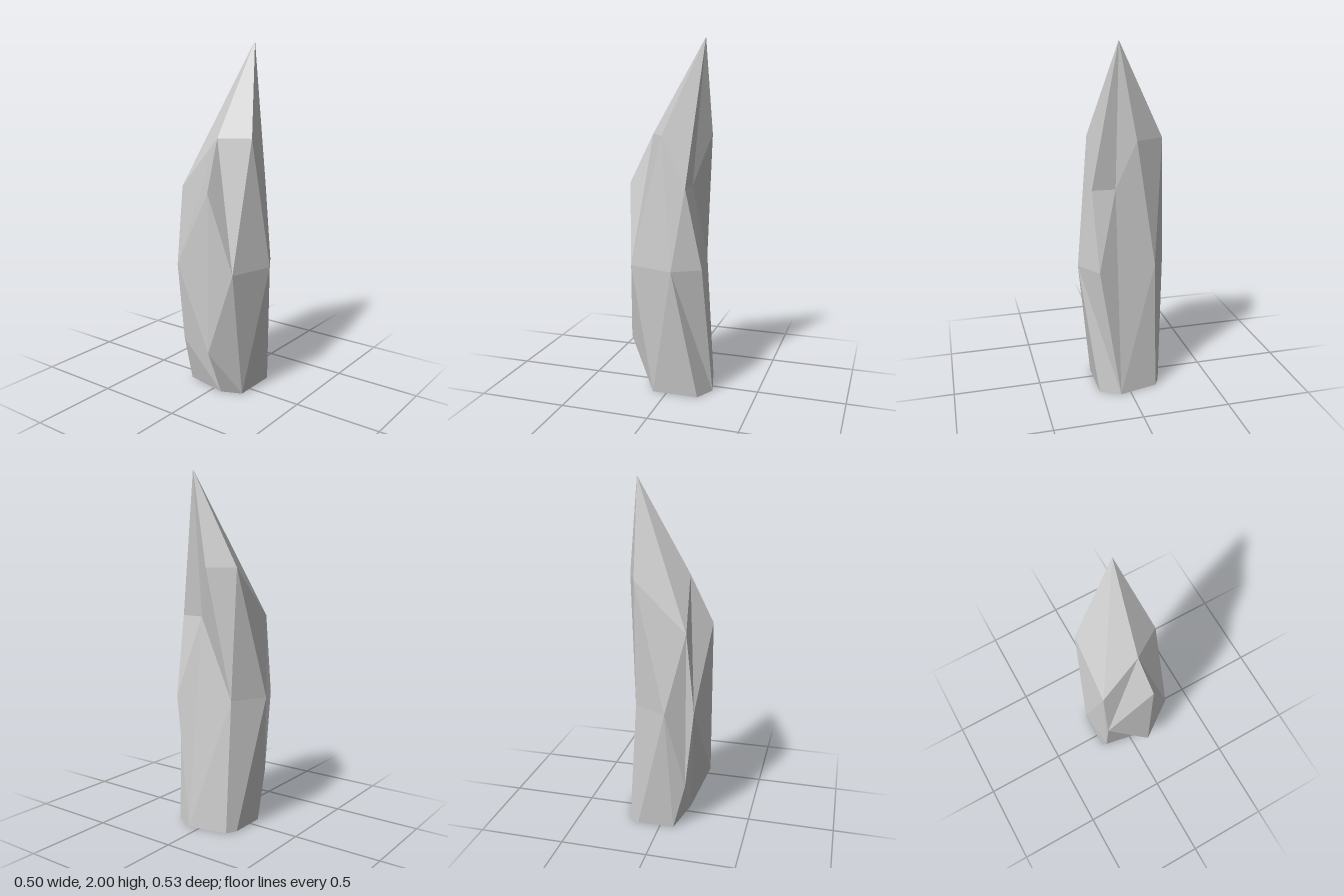
import * as THREE from 'three';

// Corners of the shard, grouped by height: label -> [x, z]
const levels = [
  [2.0, { H: [0.19, 0.06] }],
  [1.48, { L: [-0.02, 0.19], O: [-0.12, 0.03], D: [0.14, -0.195], F: [0.207, -0.036] }],
  [1.2, { K: [0.116, 0.193], P: [0.12, 0.06], C: [-0.15, -0.195], N: [-0.25, 0.06] }],
  [0.75, { J: [0.057, 0.266], I: [0.207, 0.172], Q: [0.147, -0.163], A: [-0.045, -0.268], B: [-0.198, -0.2], M: [-0.2, 0.192] }],
  [0.28, { n: [-0.25, 0.06], c: [-0.15, -0.195] }],
  [0, { T: [-0.08, 0.175], U: [0.185, 0.175], G: [0.245, 0.06], E: [0.193, -0.163], S: [0.135, -0.195], R: [-0.08, -0.195], r: [-0.13, 0.06] }],
];

// Facets as fans: the first corner is the hub, the rest run counter-clockwise round it
const fans = [
  'HOLKPFDCO', // tip
  'JKLMTUGIK', // front bulge
  'QGESADFPG', // right hollow
  'BcrnNOCc',  // back left bulge
  'ASRcCD',    // back
  'MLONnT',    // front left
  'PKIG',      // right notch
  'nrT', 'cRr', // lower chamfers
  'TrRSEGU',   // flat base
];

export function createModel() {
  const corners = {};
  for (const [y, ring] of levels) {
    for (const [label, [x, z]] of Object.entries(ring)) corners[label] = [x, y, z];
  }

  const positions = [];
  for (const [hub, ...rim] of fans) {
    for (let i = 0; i + 1 < rim.length; i++) {
      positions.push(...corners[hub], ...corners[rim[i]], ...corners[rim[i + 1]]);
    }
  }

  const geometry = new THREE.BufferGeometry();
  geometry.setAttribute('position', new THREE.Float32BufferAttribute(positions, 3));
  geometry.computeVertexNormals();

  const shard = new THREE.Mesh(
    geometry,
    new THREE.MeshStandardMaterial({ color: 0xcccccc, flatShading: true })
  );
  shard.name = 'rockShard';

  const group = new THREE.Group();
  group.name = 'rockSpire';
  group.add(shard);
  return group;
}
